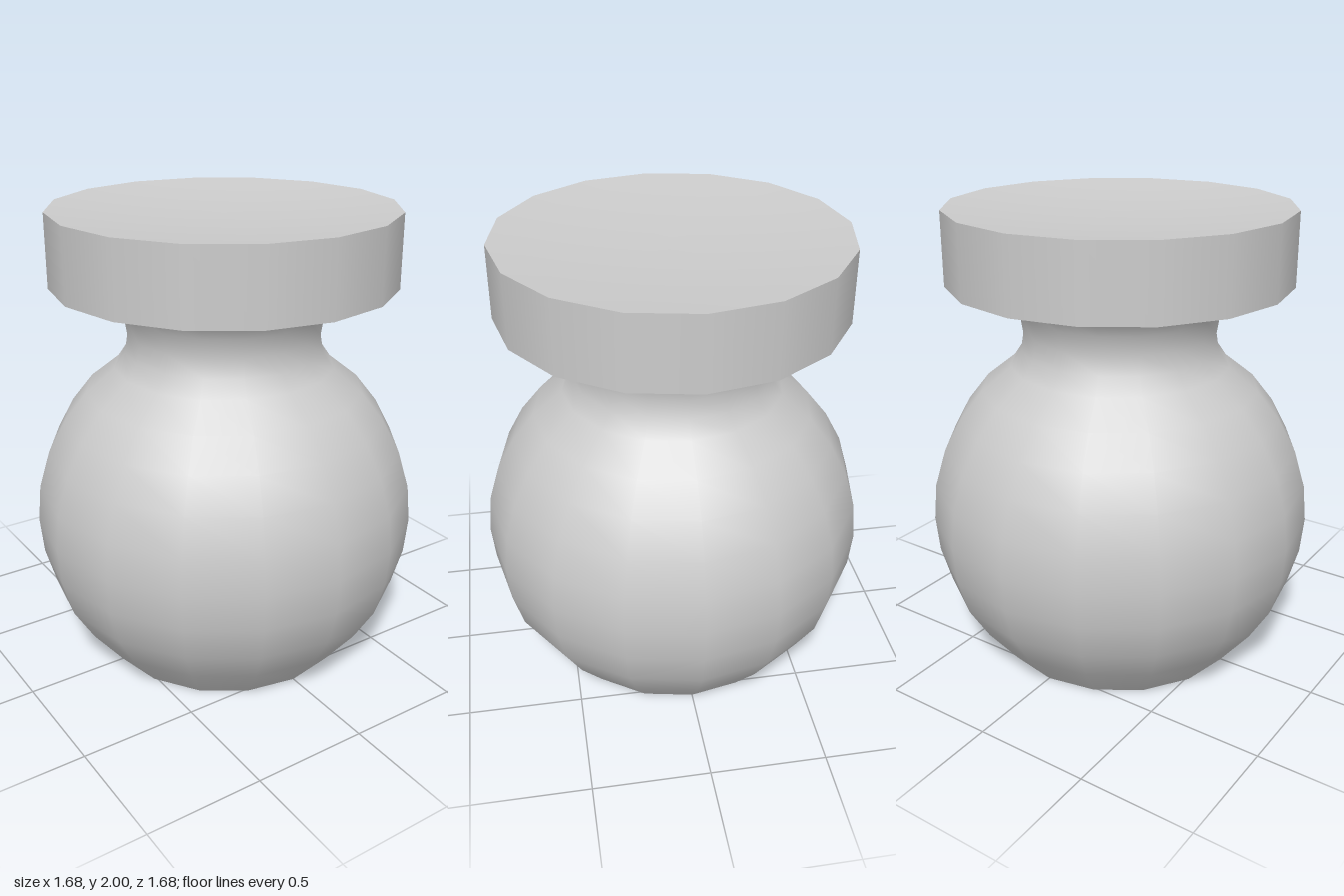
import * as THREE from 'three';

const SIDES = 16;
const material = new THREE.MeshStandardMaterial({ color: 0xcccccc });

// Turned surface from [radius, height] pairs; each is smooth, with sharp edges between them
function turned(name, profile) {
  const points = profile.map(([r, y]) => new THREE.Vector2(r, y));
  const mesh = new THREE.Mesh(new THREE.LatheGeometry(points, SIDES), material);
  mesh.name = name;
  return mesh;
}

export function createModel() {
  const group = new THREE.Group();
  group.name = 'knob';

  // Flat foot
  group.add(turned('base', [[0, 0], [0.555, 0]]));

  // Round body, flowing through the waisted neck to the underside of the cap
  group.add(turned('bodyAndNeck', [
    [0.555, 0], [0.69, 0.17], [0.78, 0.32], [0.825, 0.48], [0.84, 0.64],
    [0.825, 0.8], [0.777, 0.96], [0.702, 1.1], [0.604, 1.225],
    [0.477, 1.326], [0.43, 1.395], [0.417, 1.475], [0.43, 1.56],
    [0.477, 1.634], [0.546, 1.676], [0.615, 1.687], [0.735, 1.687],
  ]));

  // Cap: straight wall and slightly dished top
  group.add(turned('capWall', [[0.735, 1.687], [0.735, 2]]));
  const dish = [];
  const depth = 0.04;
  for (let i = 6; i >= 0; i--) {
    const t = i / 6;
    dish.push([0.735 * t, 2 - depth * (1 - t * t)]);
  }
  group.add(turned('capTop', dish));

  return group;
}
